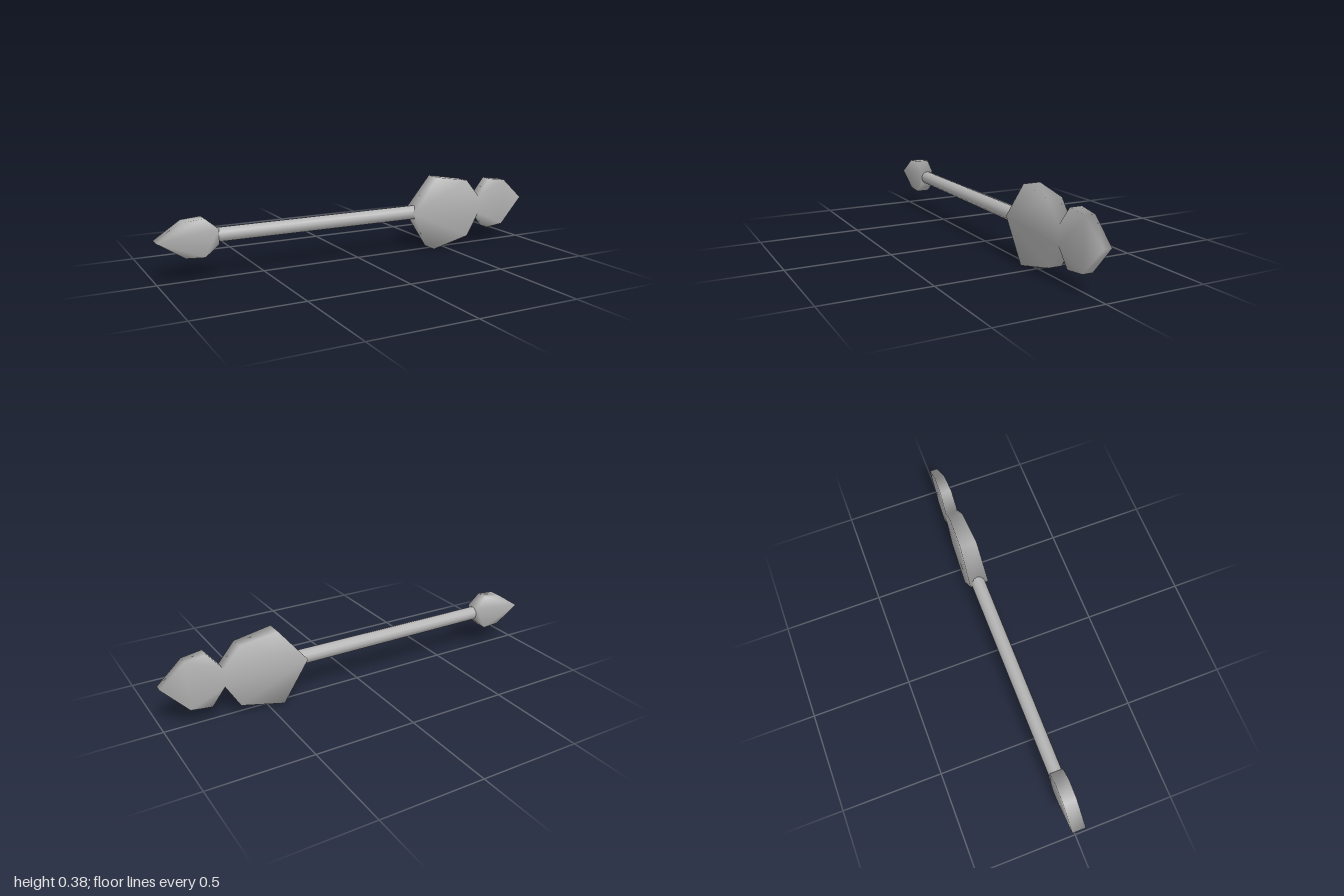
import * as THREE from 'three';

const grey = new THREE.MeshStandardMaterial({ color: 0xb4b4b4 });
grey.name = 'grey';

// Smooth-shaded plate: an anticlockwise outline with a thickness that varies along x
function plate(name, outline, halfDepth) {
  const points = outline.map(([x, y]) => new THREE.Vector2(x, y));
  const n = points.length;
  const positions = [];
  for (const side of [1, -1]) {
    for (const p of points) positions.push(p.x, p.y, side * halfDepth(p.x));
  }
  const index = [];
  for (const [a, b, c] of THREE.ShapeUtils.triangulateShape(points, [])) {
    index.push(a, b, c, n + a, n + c, n + b);
  }
  for (let i = 0; i < n; i++) {
    const j = (i + 1) % n;
    index.push(i, n + i, n + j, i, n + j, j);
  }
  const geometry = new THREE.BufferGeometry();
  geometry.setAttribute('position', new THREE.Float32BufferAttribute(positions, 3));
  geometry.setIndex(index);
  geometry.computeVertexNormals();
  const mesh = new THREE.Mesh(geometry, grey);
  mesh.name = name;
  return mesh;
}

export function createModel() {
  const model = new THREE.Group();
  model.name = 'paddle';

  // Round shaft along x
  const shaft = new THREE.Mesh(new THREE.CylinderGeometry(0.036, 0.034, 1.05, 12), grey);
  shaft.name = 'shaft';
  shaft.rotation.z = -Math.PI / 2;
  shaft.position.set(-0.195, 0.202, -0.002);
  model.add(shaft);

  // Double-lobed blade that thins towards its tip
  model.add(plate('largeBlade', [
    [0.297, 0.205], [0.425, 0.003], [0.64, 0.05], [0.709, 0.165],
    [0.773, 0.08], [0.875, 0.09], [1.0, 0.225], [0.88, 0.332],
    [0.78, 0.345], [0.709, 0.257], [0.628, 0.35], [0.44, 0.38],
  ], (x) => 0.048 - 0.04 * (x - 0.3)));

  // Small pointed blade of even thickness
  model.add(plate('smallBlade', [
    [-1, 0.2], [-0.875, 0.118], [-0.785, 0.112], [-0.72, 0.165],
    [-0.72, 0.237], [-0.783, 0.29], [-0.875, 0.282],
  ], () => 0.033));

  return model;
}
